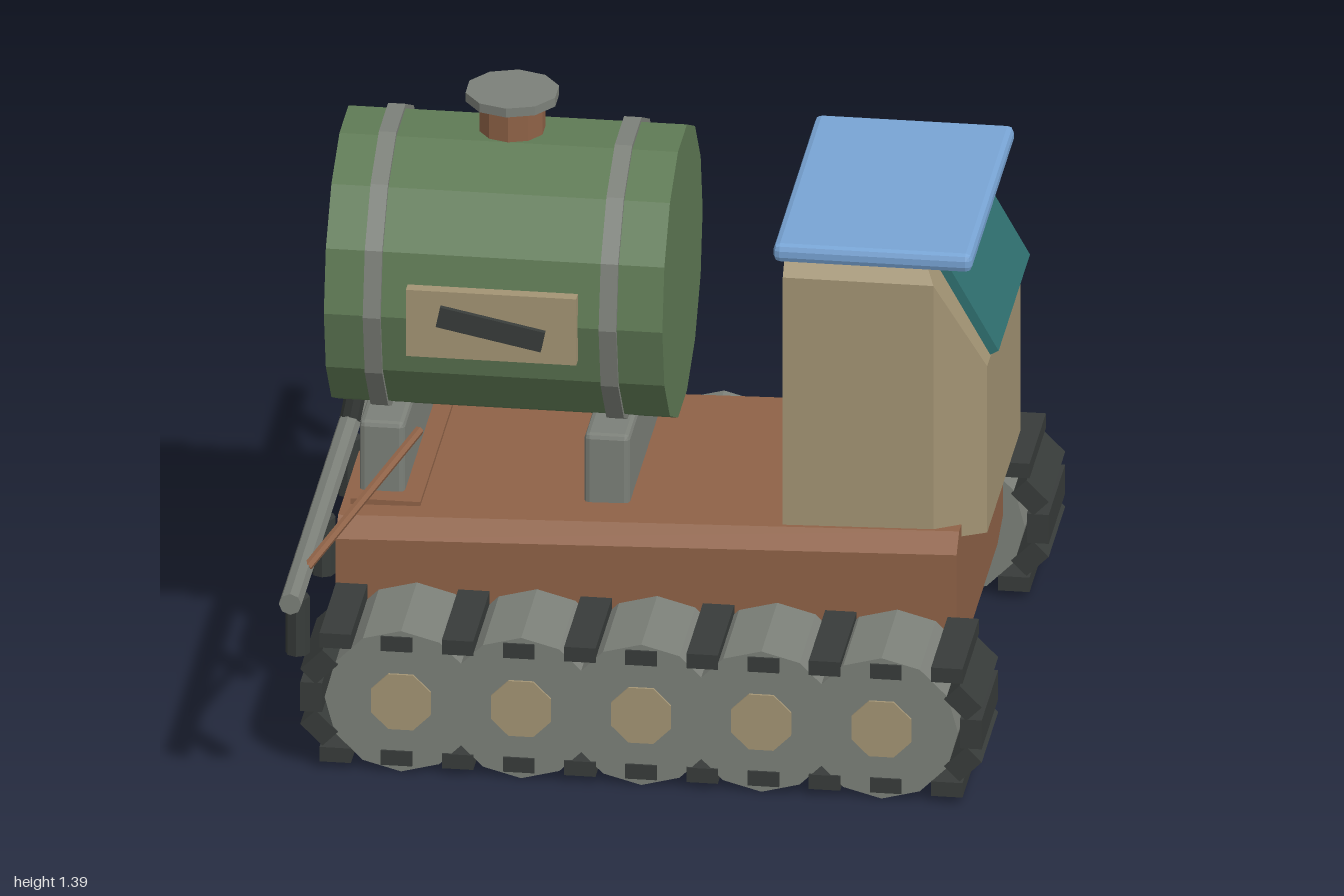
import * as THREE from 'three';
import { ConvexGeometry } from 'three/addons/geometries/ConvexGeometry.js';
import { RoundedBoxGeometry } from 'three/addons/geometries/RoundedBoxGeometry.js';

const paint = (color) => new THREE.MeshStandardMaterial({ color, flatShading: true });
const V = (x, y, z) => new THREE.Vector3(x, y, z);

export function createModel() {
  const root = new THREE.Group();
  const green = paint(0x5f7a55), brown = paint(0x8f6247), tan = paint(0xa39474);
  const grey = paint(0x7c8079), dark = paint(0x383c3a), blue = paint(0x78a4d4), teal = paint(0x2f7070);

  function add(name, geometry, material, x = 0, y = 0, z = 0, parent = root) {
    const mesh = new THREE.Mesh(geometry, material);
    mesh.name = name;
    mesh.position.set(x, y, z);
    parent.add(mesh);
    return mesh;
  }
  const box = (w, h, d) => new THREE.BoxGeometry(w, h, d);
  const cyl = (r, h, sides) => new THREE.CylinderGeometry(r, r, h, sides);

  // Straight rod between two points
  function rod(name, a, b, r, sides, material) {
    const mesh = add(name, cyl(r, a.distanceTo(b), sides), material);
    mesh.position.copy(a).add(b).multiplyScalar(0.5);
    mesh.quaternion.setFromUnitVectors(V(0, 1, 0), b.clone().sub(a).normalize());
  }

  // Hull: chamfered section swept along x, rising and narrowing towards the cab
  const half = [[0.31, 0.19], [0.405, 0.22], [0.405, 0.435], [0.36, 0.475]];
  const section = new THREE.Shape(
    [...half, ...half.map(([z, y]) => [-z, y]).reverse()].map(([z, y]) => new THREE.Vector2(z, y)));
  const hull = new THREE.ExtrudeGeometry(section, { depth: 1.42, bevelEnabled: false });
  hull.rotateY(Math.PI / 2).translate(-0.74, 0, 0);
  const p = hull.attributes.position;
  for (let i = 0; i < p.count; i++) {
    const t = (p.getX(i) + 0.74) / 1.42;
    if (p.getY(i) > 0.4) p.setY(i, p.getY(i) + 0.04 * t);
    p.setZ(i, p.getZ(i) * (1 - 0.035 * t));
  }
  hull.computeVertexNormals();
  add('hull', hull, brown);

  // Tracks: overlapping wheels ringed with pads
  for (const side of [1, -1]) {
    const track = new THREE.Group();
    track.name = side > 0 ? 'leftTrack' : 'rightTrack';
    track.position.z = side * 0.565;
    root.add(track);
    for (let i = -2; i <= 2; i++) {
      add('wheel', cyl(0.175, 0.268, 12).rotateX(Math.PI / 2), grey, i * 0.275, 0.175, 0, track);
      add('wheelHub', cyl(0.074, 0.28, 8).rotateY(Math.PI / 8).rotateX(Math.PI / 2), tan,
        i * 0.275, 0.175, 0, track);
    }
    const pad = box(0.072, 0.036, 0.278);
    for (let i = -5; i <= 5; i++) {
      add('trackPad', pad, dark, i * 0.14, 0.318, 0, track);
      add('trackPad', pad, dark, i * 0.14, 0.034, 0, track);
    }
    for (const end of [1, -1]) {
      add('endPad', box(0.05, 0.072, 0.278), dark, end * 0.755, 0.175, 0, track);
      for (const up of [1, -1]) {
        const corner = add('endPad', box(0.072, 0.05, 0.278), dark,
          end * 0.737, 0.175 + up * 0.076, 0, track);
        corner.rotation.z = -end * up * Math.PI / 4;
      }
    }
  }

  // Cab: chamfered front corners, raked windscreen face, tapered top
  const cab = [];
  for (const s of [1, -1]) {
    cab.push(V(0.275, 0.485, s * 0.34), V(0.62, 0.485, s * 0.34), V(0.735, 0.485, s * 0.28),
      V(0.735, 0.9, s * 0.28), V(0.62, 1.12, s * 0.34), V(0.275, 1.12, s * 0.34),
      V(0.5965, 1.165, s * 0.3), V(0.275, 1.165, s * 0.3));
  }
  add('cab', new ConvexGeometry(cab), tan);
  add('cabRoof', new RoundedBoxGeometry(0.455, 0.045, 0.73, 1, 0.015), blue, 0.483, 1.188, 0);
  const screen = add('windscreen', box(0.022, 0.235, 0.53), teal, 0.692, 1.03, 0);
  screen.rotation.z = Math.atan2(0.115, 0.205);

  // Tank with straps, saddles and filler
  const tankY = 0.965;
  add('tank', cyl(0.34, 0.775, 14).rotateZ(Math.PI / 2), green, -0.388, tankY, 0);
  for (const x of [-0.665, -0.125]) {
    add('tankStrap', cyl(0.351, 0.04, 14).rotateZ(Math.PI / 2), grey, x, tankY, 0);
  }
  for (const x of [-0.655, -0.14]) {
    add('tankSaddle', new RoundedBoxGeometry(0.104, 0.21, 0.5, 1, 0.012), grey, x, 0.555, 0);
  }
  add('saddlePlate', box(0.16, 0.02, 0.6), brown, -0.64, 0.48, 0);
  add('fillerNeck', cyl(0.076, 0.1, 10), brown, -0.39, 1.328, 0);
  add('fillerCap', cyl(0.108, 0.022, 10), grey, -0.39, 1.384, 0);

  // Side plate with slanted bar
  add('sidePlate', box(0.39, 0.165, 0.03), tan, -0.39, 0.963, 0.345);
  const bar = add('sideBar', box(0.245, 0.05, 0.014), dark, -0.39, 0.963, 0.366);
  bar.rotation.z = -0.2;

  // Spray boom with nozzles, braces and feed hose
  add('boom', cyl(0.026, 2, 8).rotateX(Math.PI / 2), grey, -0.763, 0.54, 0);
  for (const z of [-0.875, -0.4375, 0, 0.4375, 0.875]) {
    add('nozzle', cyl(0.028, 0.14, 8), dark, -0.763, 0.435, z);
  }
  for (const s of [1, -1]) {
    rod('boomBrace', V(-0.75, 0.55, s * 0.82), V(-0.565, 0.66, s * 0.28), 0.011, 6, brown);
  }
  rod('feedHose', V(-0.763, 0.54, 0), V(-0.735, 0.69, 0), 0.024, 8, dark);

  return root;
}
